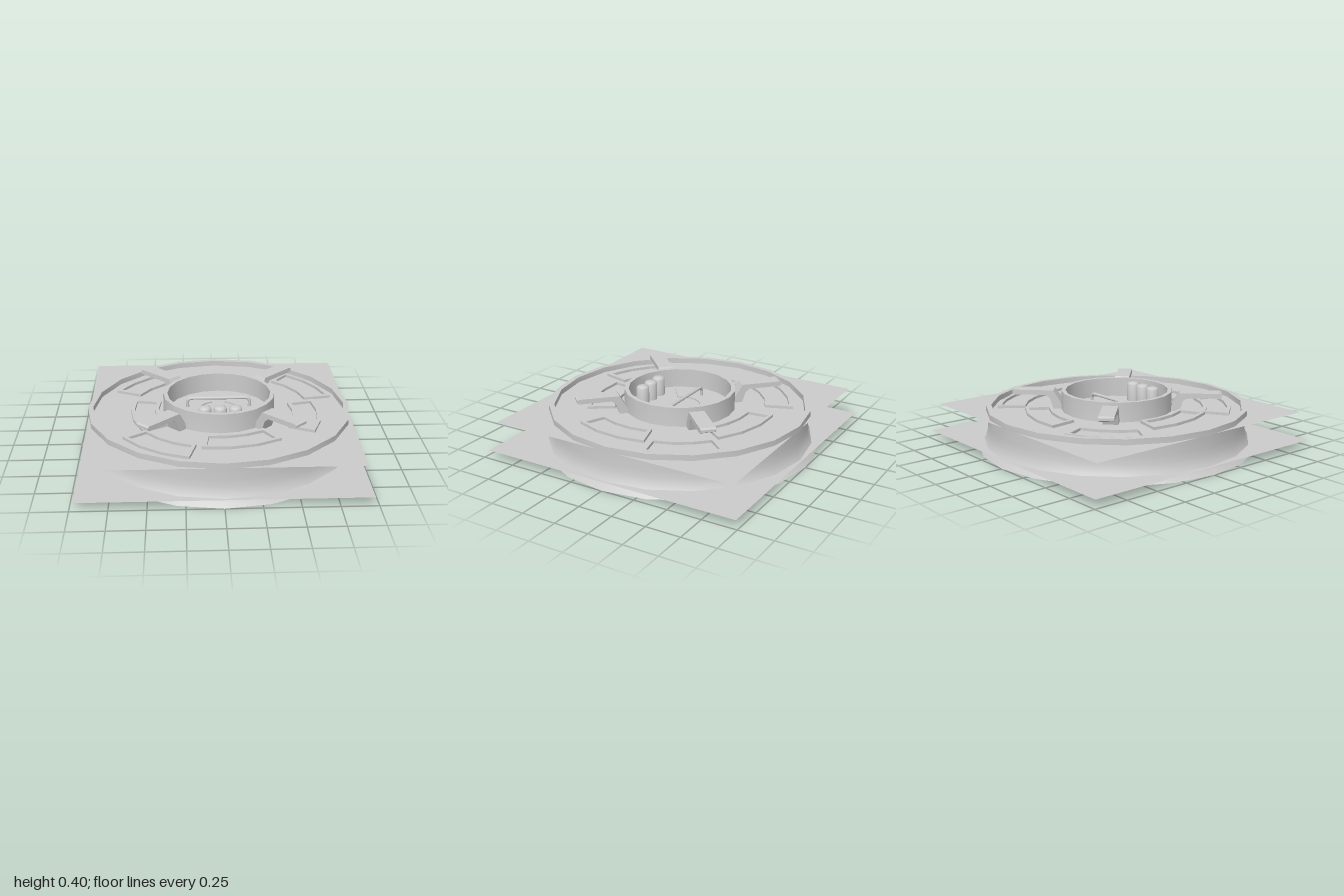
import * as THREE from 'three';
import { toCreasedNormals } from 'three/addons/utils/BufferGeometryUtils.js';

const SIDES = 20;
const DECK = 0.255; // height of the upper sheet
const BASE = 0.05; // height of the lower sheet

export function createModel() {
  const model = new THREE.Group();
  const grey = new THREE.MeshStandardMaterial({ color: 0xcccccc, side: THREE.DoubleSide });

  const add = (name, geometry, parent = model) => {
    const mesh = new THREE.Mesh(geometry, grey);
    mesh.name = name;
    parent.add(mesh);
    return mesh;
  };
  const lathe = (points, crease) =>
    toCreasedNormals(
      new THREE.LatheGeometry(points.map(([r, y]) => new THREE.Vector2(r, y)), SIDES),
      crease
    );
  // Corner points of a ring sector, angles in radians
  const sector = (inner, outer, from, to, steps) => {
    const points = [];
    for (const [r, a, b] of [[outer, from, to], [inner, to, from]]) {
      for (let i = 0; i <= steps; i++) {
        const t = a + ((b - a) * i) / steps;
        points.push(new THREE.Vector2(r * Math.cos(t), r * Math.sin(t)));
      }
    }
    return points;
  };
  // Extrudes a flat shape upward from y = 0
  const slab = (shape, height) =>
    new THREE.ExtrudeGeometry(shape, { depth: height, bevelEnabled: false }).rotateX(-Math.PI / 2);

  // Flared skirt and stepped rim
  add('skirt', lathe([[1, 0], [0.975, 0.03], [0.948, 0.07], [0.935, 0.12], [0.93, 0.17], [0.93, DECK]], 0.8));
  add('rim', lathe([[0.93, DECK], [0.943, DECK], [0.943, 0.295], [0.905, 0.295], [0.905, DECK]], 0.5));

  // Two square sheets through the body
  for (const [name, size, y] of [['lowerSheet', 1.955, BASE], ['upperSheet', 1.86, DECK]]) {
    add(name, new THREE.PlaneGeometry(size, size).rotateX(-Math.PI / 2)).position.y = y;
  }

  // Central hub wall
  add('hub', lathe([[0.42, 0], [0.415, 0.03], [0.4, 0.08], [0.4, 0.395], [0.37, 0.395], [0.37, BASE]], 0.6));

  // Two fan blades on the hub floor
  const rad = THREE.MathUtils.degToRad;
  for (const [from, to] of [[-37, 72], [108, 217]]) {
    const shape = new THREE.Shape(sector(0.145, 0.335, rad(from), rad(to), 6));
    add('fanBlade', slab(shape, DECK + 0.01 - BASE)).position.y = BASE;
  }

  // Handle with ends bent down to the hub floor
  const path = new THREE.CatmullRomCurve3(
    [[-0.225, DECK], [-0.225, 0.31], [-0.2, 0.33], [0, 0.33], [0.2, 0.33], [0.225, 0.31], [0.225, DECK]]
      .map(([x, y]) => new THREE.Vector3(x, y, -0.05)),
    false, 'catmullrom', 0.2
  );
  add('handle', new THREE.TubeGeometry(path, 40, 0.012, 8));

  // Three round-topped pegs
  const peg = [[0.046, 0], [0.046, 0.12], [0.04, 0.132], [0.025, 0.138], [0, 0.14]];
  for (const x of [-0.107, 0, 0.107]) {
    add('peg', lathe(peg, 1)).position.set(x, DECK, 0.25);
  }

  // Four bent arms standing against the hub
  const armShape = new THREE.Shape(
    [[0.39, DECK], [0.4, 0.3], [0.455, 0.388], [0.74, 0.388], [0.755, 0.38],
      [0.755, 0.362], [0.74, 0.353], [0.51, 0.353], [0.48, 0.33], [0.455, DECK]]
      .map(([r, y]) => new THREE.Vector2(r, y))
  );
  const armGeometry = new THREE.ExtrudeGeometry(armShape, { depth: 0.108, bevelEnabled: false })
    .translate(0, 0, -0.054);
  for (let i = 0; i < 4; i++) {
    add('arm', armGeometry).rotation.y = Math.PI / 4 + (i * Math.PI) / 2;
  }

  // Raised curved frames scattered round the deck: centre x, centre z, direction in degrees
  const half = rad(21.5);
  const frameShape = new THREE.Shape(sector(0.56, 0.76, -half, half, 3));
  frameShape.holes.push(new THREE.Path(sector(0.587, 0.733, -half + 0.042, half - 0.042, 3)));
  const frameGeometry = slab(frameShape, 0.02).translate(-0.614, 0, 0);
  const frames = [
    [0.103, -0.515, -75], [0.611, -0.386, -32], [0.578, 0.133, 5], [0.114, 0.498, 78],
    [-0.393, 0.555, 126], [-0.483, 0.078, 172.5], [-0.486, -0.478, -133]
  ];
  for (const [x, z, angle] of frames) {
    const frame = add('deckFrame', frameGeometry);
    frame.position.set(x, DECK, z);
    frame.rotation.y = -rad(angle);
  }

  return model;
}
